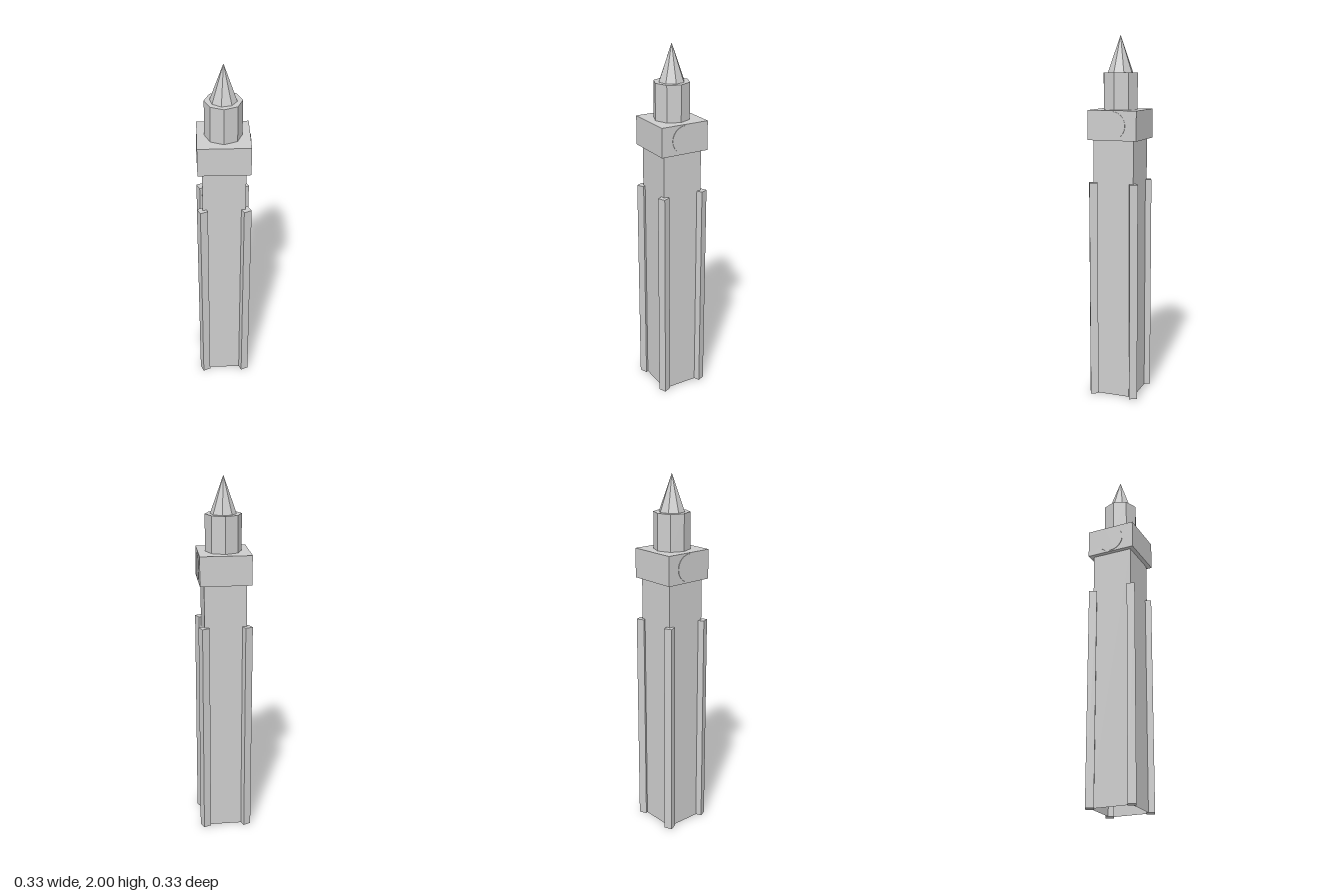
import * as THREE from 'three';

const TURN = THREE.MathUtils.degToRad(12);

export function createModel() {
  const model = new THREE.Group();
  model.name = 'clockTower';
  const stone = new THREE.MeshStandardMaterial({
    color: 0xcccccc, flatShading: true, side: THREE.DoubleSide,
  });
  stone.name = 'pale stone';

  // The tower stands slightly turned about its vertical axis
  const tower = new THREE.Group();
  tower.name = 'tower';
  tower.rotation.y = -TURN;
  model.add(tower);

  const add = (parent, name, geometry, x, y, z) => {
    const mesh = new THREE.Mesh(geometry, stone);
    mesh.name = name;
    mesh.position.set(x, y, z);
    parent.add(mesh);
    return mesh;
  };

  // Square shaft, open at the bottom
  const half = 0.114;
  const shaftHeight = 1.445;
  add(tower, 'shaft',
    new THREE.CylinderGeometry(half * Math.SQRT2, half * Math.SQRT2, shaftHeight, 4, 1, true, Math.PI / 4),
    0, shaftHeight / 2, 0);

  // Corner buttresses, turned against the shaft
  const buttressHeight = 1.213;
  const buttressGeometry = new THREE.BoxGeometry(0.044, buttressHeight, 0.044);
  for (const sx of [-1, 1]) {
    for (const sz of [-1, 1]) {
      const buttress = add(tower, 'cornerButtress', buttressGeometry,
        sx * 0.116, buttressHeight / 2, sz * 0.116);
      buttress.rotation.y = 2 * TURN;
    }
  }

  // Clock head with a thin round face on its two sides
  add(tower, 'clockHead', new THREE.BoxGeometry(0.276, 0.16, 0.276), 0, 1.525, 0);
  const faceGeometry = new THREE.CylinderGeometry(0.075, 0.075, 0.006, 32);
  faceGeometry.rotateZ(Math.PI / 2);
  for (const side of [-1, 1]) {
    add(tower, 'clockFace', faceGeometry, side * 0.138, 1.525, 0);
  }

  // Octagonal lantern and spire
  add(tower, 'lantern', new THREE.CylinderGeometry(0.098, 0.098, 0.197, 8), 0, 1.7035, 0);
  add(model, 'spire',
    new THREE.ConeGeometry(0.07, 0.198, 8, 1, false, Math.PI / 8), 0, 1.901, 0);

  return model;
}
